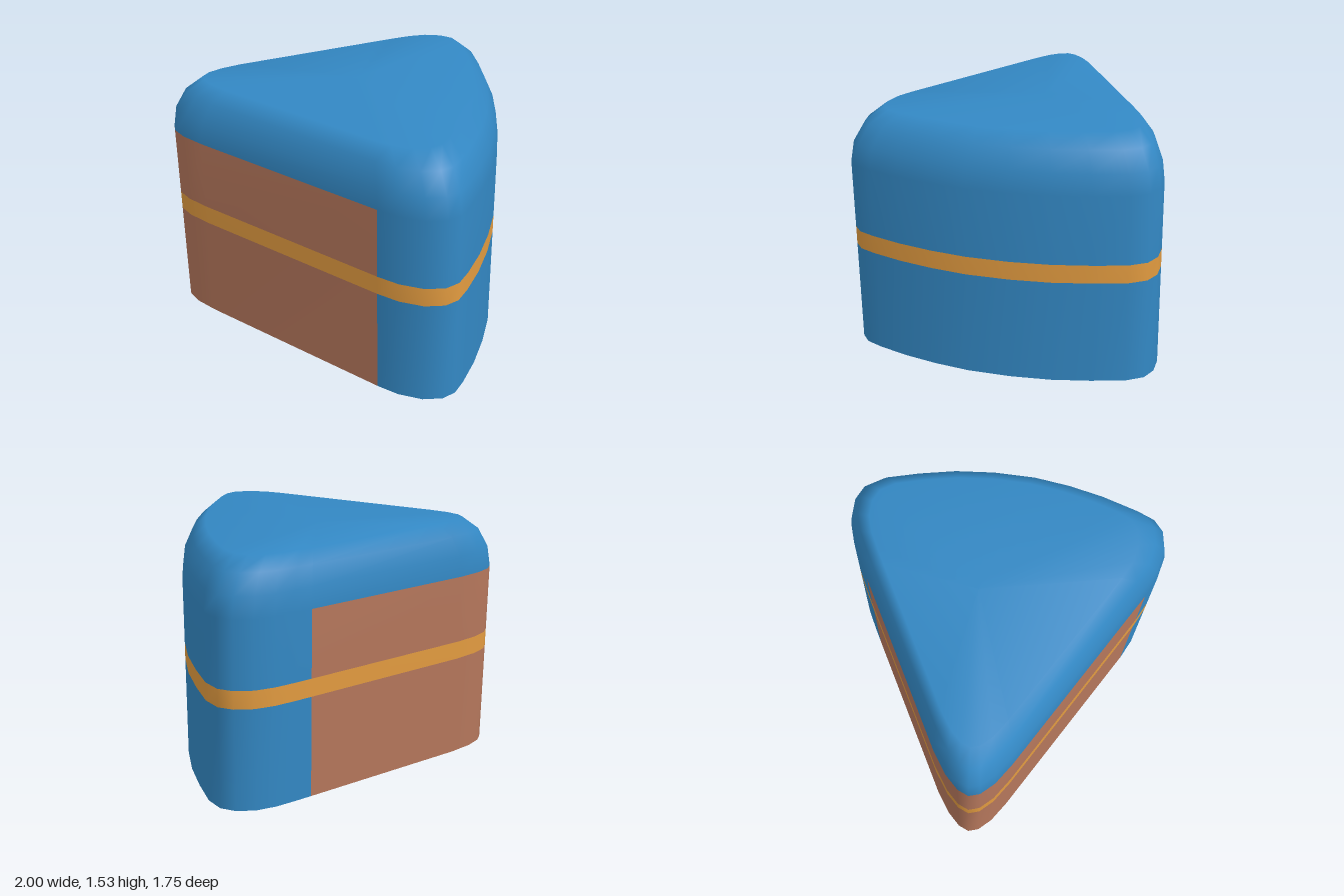
import * as THREE from 'three';

export function createModel() {
  const group = new THREE.Group();
  group.name = 'cakeSlice';
  const makeMaterial = (name, color) => {
    const m = new THREE.MeshStandardMaterial({ color, side: THREE.DoubleSide });
    m.name = name;
    return m;
  };
  const icingMat = makeMaterial('blue icing', 0x3388c4);
  const spongeMat = makeMaterial('brown sponge', 0xb4765b);
  const creamMat = makeMaterial('golden cream', 0xe29b40);

  // Wedge outline (x, z): cut front, tip, cut slanted side, then the curved rind
  const cut = [
    [0.6, 0.87], [-0.69, 0.87], [-0.84, 0.86], [-0.94, 0.83], [-0.99, 0.785], [-1, 0.715],
    [-0.975, 0.61], [-0.91, 0.47], [-0.34, -0.5],
  ];
  const rind = [
    [-0.28, -0.6], [-0.21, -0.71], [-0.125, -0.805], [-0.02, -0.865], [0.08, -0.875],
    [0.19, -0.82], [0.34, -0.675], [0.5, -0.5], [0.645, -0.3], [0.78, -0.07], [0.87, 0.14],
    [0.94, 0.35], [0.985, 0.54], [1, 0.655], [0.97, 0.74], [0.88, 0.815], [0.74, 0.86],
  ];
  const outline = [...cut, ...rind];
  const n = outline.length;

  // Rings from the open bottom to the rounded top: height and scale about the middle
  const rings = [[0, 1], [0.655, 1], [0.77, 1], [1.2, 1], [1.33, 0.98], [1.45, 0.918], [1.53, 0.82]];
  const cx = -0.08, cz = 0.14;
  const positions = [];
  for (const [y, s] of rings) {
    for (const [x, z] of outline) positions.push(cx + (x - cx) * s, y, cz + (z - cz) * s);
  }
  positions.push(cx, 1.53, cz);

  // Sort the faces into the three parts
  const icing = [], sponge = [], cream = [];
  for (let r = 0; r < rings.length - 1; r++) {
    for (let i = 0; i < n; i++) {
      const a = r * n + i, b = r * n + (i + 1) % n;
      const part = r === 1 ? cream : r < 3 && i < cut.length - 1 ? sponge : icing;
      part.push(a, a + n, b, a + n, b + n, b);
    }
  }
  const top = (rings.length - 1) * n;
  for (let i = 0; i < n; i++) icing.push(top + n, top + (i + 1) % n, top + i);

  // Shared smooth normals keep the surface continuous across colour seams
  const surface = new THREE.BufferGeometry();
  surface.setAttribute('position', new THREE.Float32BufferAttribute(positions, 3));
  surface.setIndex([...icing, ...sponge, ...cream]);
  surface.computeVertexNormals();

  const addPart = (name, index, material) => {
    const g = new THREE.BufferGeometry();
    g.setAttribute('position', surface.getAttribute('position'));
    g.setAttribute('normal', surface.getAttribute('normal'));
    g.setIndex(index);
    const mesh = new THREE.Mesh(g, material);
    mesh.name = name;
    group.add(mesh);
  };
  addPart('icing', icing, icingMat);
  addPart('spongeSides', sponge, spongeMat);
  addPart('creamBand', cream, creamMat);
  return group;
}
